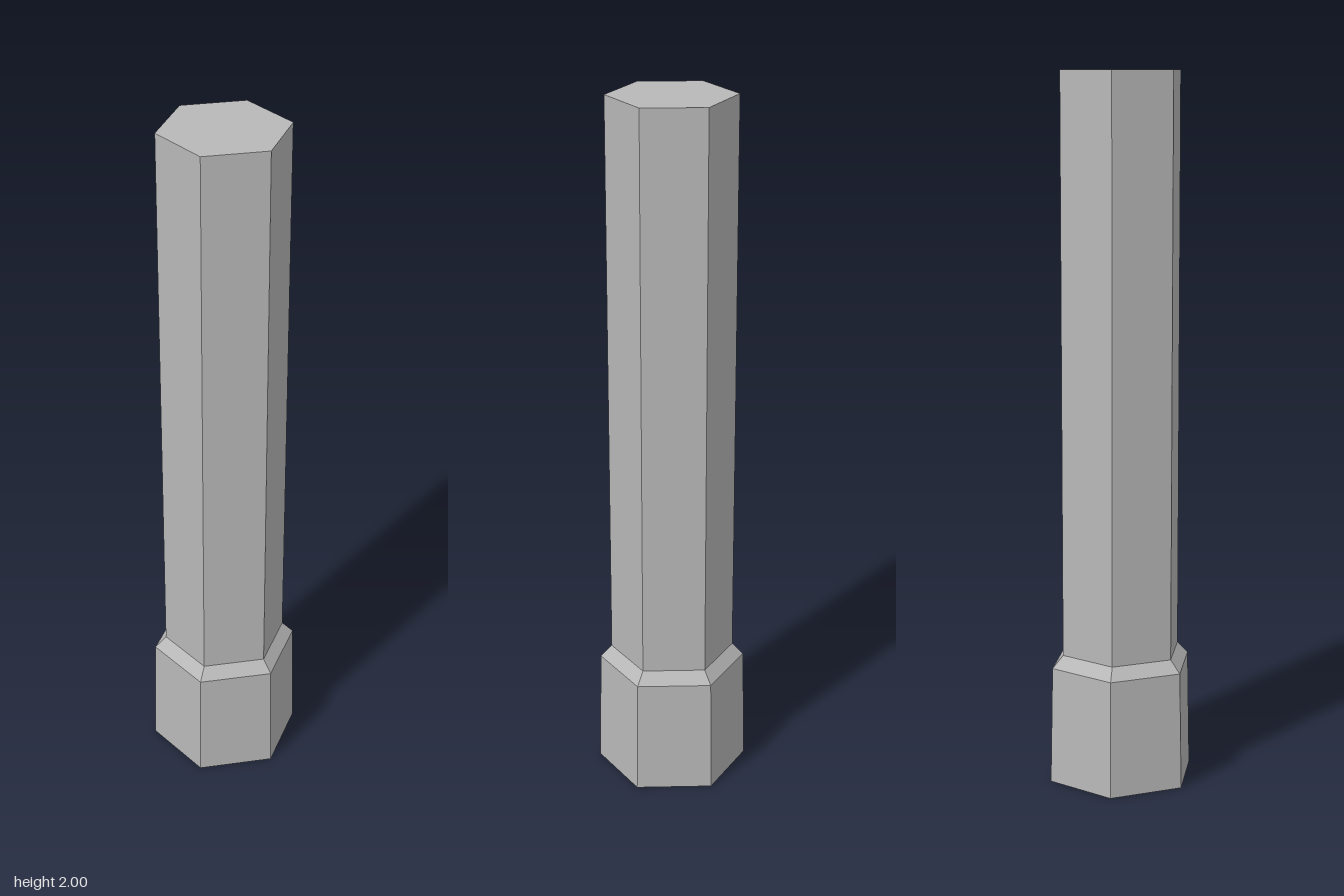
import * as THREE from 'three';

export function createModel() {
  const group = new THREE.Group();
  const stone = new THREE.MeshStandardMaterial({ color: 0xb8b8b8, flatShading: true });
  stone.name = 'stoneGrey';

  // Six-sided prism from a profile of [radius, height], turned 15 degrees
  const addHex = (name, profile) => {
    const points = profile.map(([r, y]) => new THREE.Vector2(r, y));
    const mesh = new THREE.Mesh(new THREE.LatheGeometry(points, 6, Math.PI / 12), stone);
    mesh.name = name;
    group.add(mesh);
  };

  // Slightly tapered foot with a closed underside
  addHex('base', [[0, 0], [0.216, 0], [0.209, 0.335]]);
  // Sloping shoulder between foot and shaft
  addHex('shoulder', [[0.209, 0.335], [0.177, 0.37]]);
  // Straight shaft with a flat top
  addHex('shaft', [[0.177, 0.37], [0.177, 2], [0, 2]]);

  return group;
}
